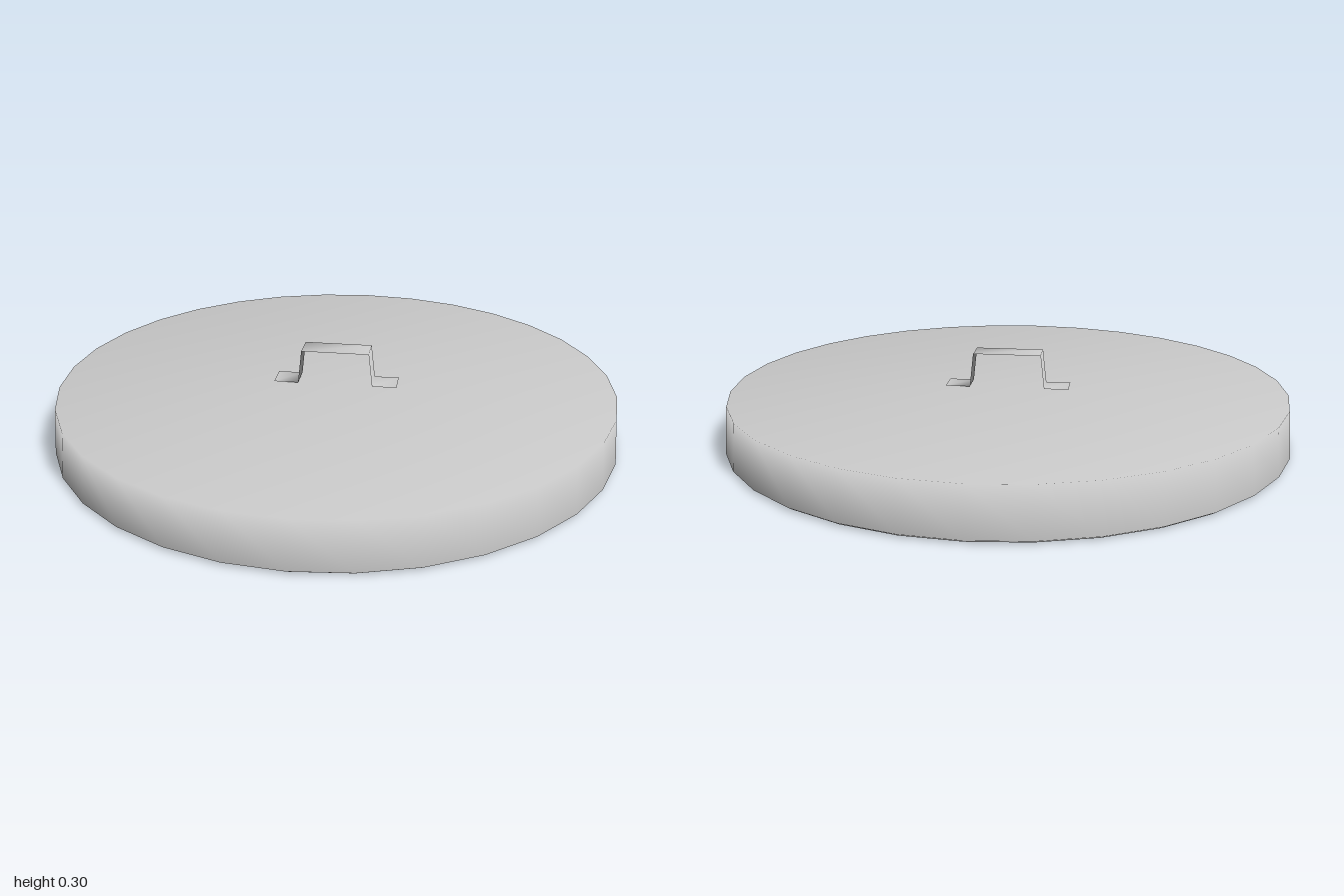
import * as THREE from 'three';

export function createModel() {
  const model = new THREE.Group();
  model.name = 'lid';
  const material = new THREE.MeshStandardMaterial({ color: 0xcccccc, side: THREE.DoubleSide });

  // Shallow open shell: inturned lip, slightly flared wall, flat smooth-shaded top
  const profile = [
    [0.985, 0],
    [1.0, 0.01],
    [0.987, 0.173],
    [0, 0.173],
  ].map(([r, y]) => new THREE.Vector2(r, y));
  const shell = new THREE.Mesh(new THREE.LatheGeometry(profile, 32), material);
  shell.name = 'lidShell';
  model.add(shell);

  // Handle: a thin bent strap with two feet, two legs and a grip
  const half = [[0.22, 0.18], [0.133, 0.18], [0.12, 0.3]];
  const path = [...half.map(([x, y]) => [-x, y]), ...half.slice().reverse()];
  const strap = new THREE.PlaneGeometry(1, 1, path.length - 1, 1);
  const pos = strap.attributes.position;
  for (let i = 0; i < pos.count; i++) {
    const [x, y] = path[i % path.length];
    pos.setXYZ(i, x, y, i < path.length ? -0.05 : 0.045);
  }
  strap.computeVertexNormals();
  const handle = new THREE.Mesh(strap, material);
  handle.name = 'handle';
  model.add(handle);

  return model;
}
